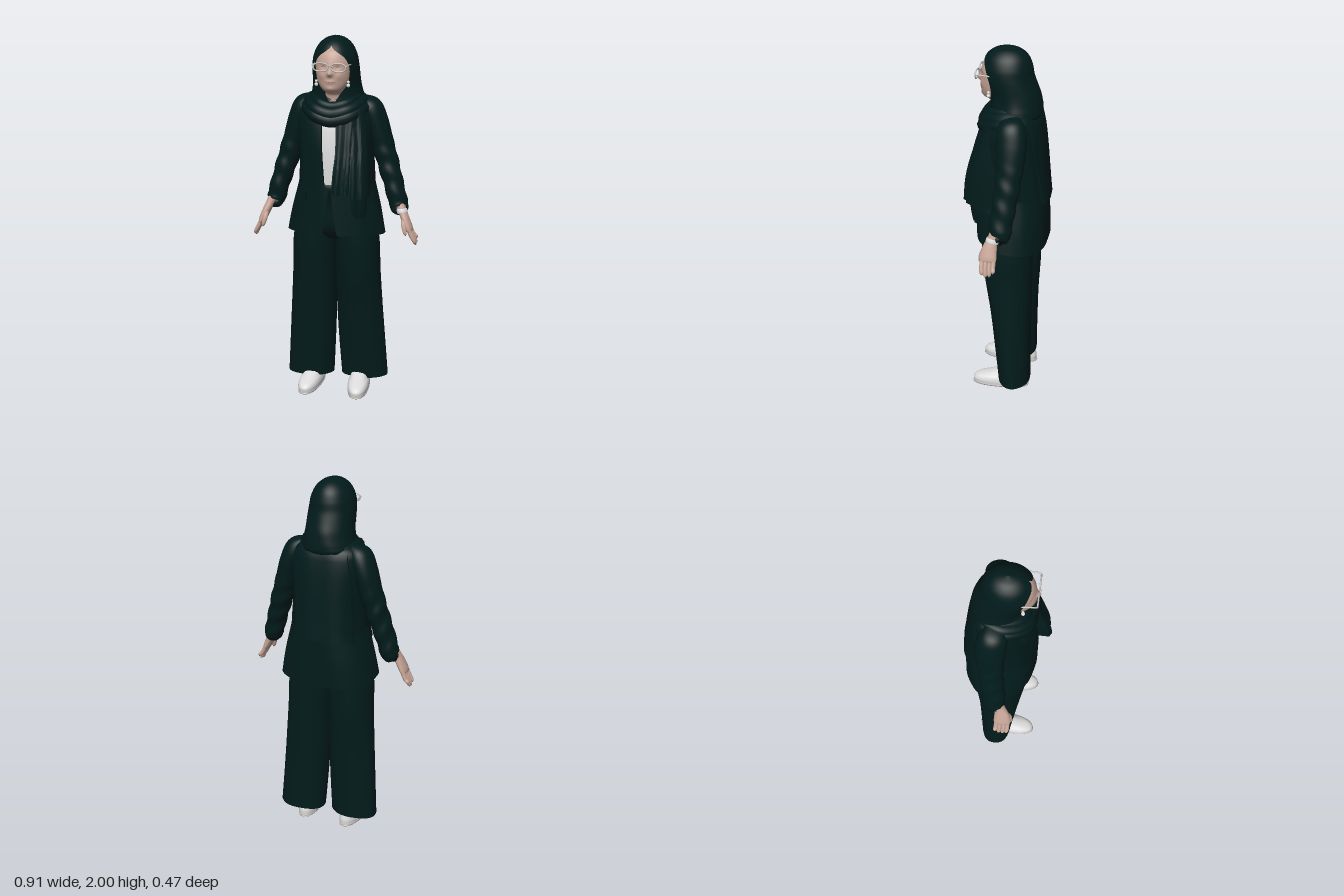
import * as THREE from 'three';
import { mergeVertices, toCreasedNormals } from 'three/addons/utils/BufferGeometryUtils.js';

const mat = (name, color) => {
  const m = new THREE.MeshStandardMaterial({ color, side: THREE.DoubleSide });
  m.name = name;
  return m;
};

// Smooth interpolation of table rows at index position t
function sample(rows, t) {
  const last = rows.length - 1;
  const i = Math.min(Math.floor(t), last - 1), f = t - i;
  const row = k => rows[Math.max(0, Math.min(last, k))];
  return rows[i].map((b, c) => {
    const a = row(i - 1)[c], d = row(i + 1)[c], e = row(i + 2)[c];
    return b + 0.5 * f * (d - a + f * (2 * a - 5 * b + 4 * d - e + f * (3 * (b - d) + e - a)));
  });
}

// Surface from a grid of points
function grid(nu, nv, fn, crease = false) {
  const pos = [], idx = [];
  for (let j = 0; j <= nv; j++) for (let i = 0; i <= nu; i++) pos.push(...fn(i / nu, j / nv));
  for (let j = 0; j < nv; j++) for (let i = 0; i < nu; i++) {
    const a = j * (nu + 1) + i, b = a + 1, c = a + nu + 1, d = c + 1;
    idx.push(a, b, d, a, d, c);
  }
  let g = new THREE.BufferGeometry();
  g.setAttribute('position', new THREE.Float32BufferAttribute(pos, 3));
  g.setIndex(idx);
  if (crease) return toCreasedNormals(g, 0.9);
  g = mergeVertices(g, 1e-5);
  g.computeVertexNormals();
  return g;
}

const pw = (v, e) => Math.sign(v) * Math.abs(v) ** e;

// Upright body from rings [y, cx, cz, rx, rz, half width of front opening];
// n and nFront set how boxy the back and front are
function loft(rings, { n = 2, nFront = n, segs = 56, steps = 7, fold = () => 1, warp = p => p } = {}) {
  return grid(segs, (rings.length - 1) * steps, (u, v) => {
    const [y, cx, cz, rx0, rz0, w = 0] = sample(rings, v * (rings.length - 1));
    const rx = Math.max(rx0, 0.0005), rz = Math.max(rz0, 0.0005);
    const a = Math.asin(Math.min(1, Math.max(0, w) / rx) ** (nFront / 2));
    const th = a + u * (2 * Math.PI - 2 * a), k = fold(th, y);
    const e = 2 / (Math.cos(th) > 0 ? nFront : n);
    return warp([cx + k * rx * pw(Math.sin(th), e), y, cz + k * rz * pw(Math.cos(th), e)]);
  });
}

// Depth of a lofted body at x, y on its front (s = 1) or back (s = -1)
function depth(rings, x, y, n, s = 1) {
  let i = 0;
  while (i < rings.length - 2 && rings[i + 1][0] < y) i++;
  const f = THREE.MathUtils.clamp((y - rings[i][0]) / (rings[i + 1][0] - rings[i][0]), 0, 1);
  const [, , cz, rx, rz] = sample(rings, i + f);
  return cz + s * rz * (1 - Math.min(0.97, Math.abs(x / rx)) ** n) ** (1 / n);
}

// Limb through points [x, y, z, width, depth]
function limb(pts, { segs = 24, steps = 8, fold = () => 1 } = {}) {
  const last = pts.length - 1, Z = new THREE.Vector3(0, 0, 1);
  return grid(segs, last * steps, (u, v) => {
    const t = v * last, p = sample(pts, t);
    const a = sample(pts, Math.max(0, t - 0.05)), b = sample(pts, Math.min(last, t + 0.05));
    const T = new THREE.Vector3(b[0] - a[0], b[1] - a[1], b[2] - a[2]).normalize();
    const X = T.clone().cross(Z).normalize(), Y = X.clone().cross(T);
    const th = u * 2 * Math.PI, k = fold(th, v);
    const q = X.multiplyScalar(Math.sin(th) * Math.max(p[3], 0.0005) * k)
      .addScaledVector(Y, Math.cos(th) * Math.max(p[4], 0.0005) * k);
    return [p[0] + q.x, p[1] + q.y, p[2] + q.z];
  });
}

export function createModel() {
  const root = new THREE.Group();
  const cloth = mat('dark green cloth', 0x021b1b);
  const skin = mat('skin', 0xc6a496);
  const white = mat('off white', 0xdcdcdc);
  const metal = mat('light metal', 0xc4c1be);
  const lipCol = mat('lips', 0xb48a80);
  const brown = mat('eye brown', 0x8c766b);
  const add = (name, geo, m) => {
    const mesh = new THREE.Mesh(geo, m);
    mesh.name = name;
    root.add(mesh);
    return mesh;
  };
  const V = p => new THREE.Vector3(...p);
  const tube = (pts, r, closed = false, segs = 40) =>
    new THREE.TubeGeometry(new THREE.CatmullRomCurve3(pts.map(V), closed), segs, r, 10, closed);

  // Jacket, open down the front
  const jacket = [
    [0.925, 0, -0.03, 0.268, 0.195, 0.04], [1.05, 0, -0.03, 0.243, 0.193, 0.022], [1.19, 0, -0.028, 0.208, 0.188, 0.01],
    [1.235, 0, -0.027, 0.205, 0.185, 0.036], [1.35, 0, -0.025, 0.2, 0.18, 0.043],
    [1.45, 0, -0.025, 0.203, 0.172, 0.045], [1.55, 0, -0.03, 0.207, 0.155, 0.05],
    [1.63, 0, -0.04, 0.192, 0.128, 0.04], [1.67, 0, -0.04, 0.14, 0.1, 0.01], [1.69, 0, -0.03, 0.07, 0.07, 0]];
  add('jacket', loft(jacket, {
    n: 2.5, nFront: 2.05, segs: 80,
    fold: (th, y) => 1 + 0.01 * Math.sin(th * 9 + y * 8) * (y < 1.6 ? 1 : 0),
    warp: ([x, y, z]) => [x, y + z * 0.12 * Math.max(0, (1.2 - y) / 0.27), z]
  }), cloth);

  // Raised cloth panel over a body, rows [y, x0, x1, thickness]
  const panel = (name, body, rows, s = 1, ripple = 0, hem = 0.012) => {
    const nv = (rows.length - 1) * 6 + 1, nu = 26;
    return add(name, grid(nu, nv, (u, v) => {
      const j = Math.round(v * nv), i = Math.round(u * nu);
      const [y, x0, x1, off] = sample(rows, Math.max(0, j - 1) / 6);
      const f = THREE.MathUtils.clamp((i - 1) / (nu - 2), 0, 1), x = s > 0 ? x0 + (x1 - x0) * f : x1 + (x0 - x1) * f;
      const edge = i === 0 || i === nu || j === 0;
      const o = edge ? -hem : off * (1 - ripple * Math.cos(f * 4 * Math.PI));
      return [x, y, depth(body, x, y, s > 0 ? 2.05 : 2.5, s) + s * o];
    }, true), cloth);
  };
  for (const s of [-1, 1]) {
    const m = (y, a, b, o) => [y, Math.min(s * a, s * b), Math.max(s * a, s * b), o];
    panel('lapel', jacket, [m(1.22, 0.03, 0.042, 0.01), m(1.4, 0.043, 0.1, 0.014), m(1.5, 0.046, 0.145, 0.014), m(1.62, 0.055, 0.12, 0.014)]);
    panel('pocketFlap', jacket, [m(1.12, 0.13, 0.205, 0.014), m(1.17, 0.135, 0.195, 0.014)]);
  }
  // Scarf ends hanging clear of the chest
  const drape = [[1, 0, -0.03, 0.265, 0.19], [1.19, 0, -0.03, 0.26, 0.2], [1.3, 0, -0.03, 0.25, 0.195],
    [1.42, 0, -0.03, 0.24, 0.178], [1.62, 0, -0.03, 0.21, 0.135]];
  panel('scarfEndInner', drape, [[1.19, 0.022, 0.125, 0.057], [1.3, 0.027, 0.13, 0.047], [1.42, 0.035, 0.13, 0.032], [1.6, 0.025, 0.14, 0.024]], 1, 0.13, 0.03);
  panel('scarfEndOuter', drape, [[1.165, 0.115, 0.2, 0.065], [1.3, 0.115, 0.195, 0.052], [1.45, 0.11, 0.185, 0.032], [1.62, 0.08, 0.165, 0.02]], 1, 0.1, 0.06);
  panel('scarfTip', drape, [[1.05, 0.14, 0.185, 0.025], [1.1, 0.12, 0.19, 0.03], [1.2, 0.12, 0.185, 0.035]], 1, 0.12, 0.03);
  panel('scarfBack', jacket, [[1.16, -0.185, 0.1, 0.018], [1.35, -0.175, 0.125, 0.014], [1.5, -0.165, 0.145, 0.012], [1.64, -0.14, 0.145, 0.012]], -1, 0.1);

  // Shirt and trouser top
  add('shirt', loft([[1.2, 0, -0.027, 0.185, 0.174], [1.35, 0, -0.025, 0.185, 0.17],
    [1.47, 0, -0.025, 0.185, 0.16], [1.56, 0, -0.03, 0.18, 0.142], [1.64, 0, -0.03, 0.09, 0.08]]), white);
  add('trouserTop', loft([[0.9, 0, -0.02, 0.18, 0.09], [0.97, 0, -0.02, 0.225, 0.14], [1.1, 0, -0.025, 0.2, 0.155],
    [1.22, 0, -0.025, 0.188, 0.176], [1.225, 0, -0.025, 0.05, 0.05]]), cloth);

  // Head with modelled features
  const head = [[1.6, 0, 0, 0.06, 0.06], [1.69, 0, 0.015, 0.052, 0.05], [1.71, 0, 0.045, 0.045, 0.06], [1.73, 0, 0.048, 0.065, 0.084],
    [1.77, 0, 0.042, 0.087, 0.098], [1.83, 0, 0.04, 0.096, 0.1], [1.88, 0, 0.035, 0.095, 0.102],
    [1.93, 0, 0.025, 0.078, 0.087], [1.965, 0, 0.02, 0.02, 0.03]];
  const bump = (x, y, bx, by, wx, wy, h) => h * Math.exp(-(((x - bx) / wx) ** 2) - ((y - by) / wy) ** 2);
  const relief = (x, y) => bump(x, y, 0, 1.818, 0.017, 0.015, 0.02) + bump(x, y, 0, 1.84, 0.011, 0.022, 0.009)
    + bump(Math.abs(x), y, 0.038, 1.852, 0.02, 0.012, -0.007) + bump(Math.abs(x), y, 0.045, 1.805, 0.022, 0.02, 0.006)
    + bump(x, y, 0, 1.775, 0.026, 0.012, 0.005) + bump(x, y, 0, 1.738, 0.022, 0.014, 0.006);
  const faceZ = (x, y) => depth(head, x, y, 2) + relief(x, y);
  add('head', loft(head, { segs: 96, steps: 10, warp: ([x, y, z]) => [x, y, z > 0.05 ? z + relief(x, y) : z] }), skin);
  const line = (name, pts, r, m) => add(name, tube(pts.map(([x, y]) => [x, y, faceZ(x, y) - r * 0.5]), r), m);
  line('mouth', [[-0.028, 1.78], [-0.012, 1.775], [0.012, 1.775], [0.028, 1.78]], 0.003, lipCol);
  for (const s of [-1, 1]) {
    line('eye', [[s * 0.03, 1.852], [s * 0.038, 1.854], [s * 0.048, 1.851]], 0.002, brown);
    // Glasses and earring
    const rim = Array.from({ length: 14 }, (_, i) => {
      const a = i / 14 * Math.PI * 2;
      return [s * 0.047 + 0.038 * pw(Math.cos(a), 0.75), 1.854 + 0.021 * pw(Math.sin(a), 0.75), 0.153];
    });
    add('glassesRim', tube(rim, 0.0038, true), metal);
    add('glassesArm', tube([[s * 0.085, 1.86, 0.153], [s * 0.091, 1.862, 0.148], [s * 0.093, 1.862, 0.12], [s * 0.096, 1.86, 0.07]], 0.0038), metal);
    for (let i = 0; i < 2; i++)
      add('earring', new THREE.SphereGeometry(0.01 - i * 0.002, 14, 10), white).position.set(s * 0.086, 1.75 + i * 0.018, 0.084);
  }
  add('glassesBridge', tube([[-0.012, 1.858, 0.154], [0, 1.862, 0.16], [0.012, 1.858, 0.154]], 0.0035), metal);

  // Headscarf hood with face opening, fuller at the nape
  add('hood', loft([[1.595, 0, -0.03, 0.12, 0.12, 0], [1.64, 0, -0.045, 0.15, 0.138, 0.004], [1.67, 0, -0.048, 0.145, 0.138, 0.022],
    [1.71, 0, -0.045, 0.134, 0.136, 0.048], [1.75, 0, -0.037, 0.128, 0.136, 0.076], [1.8, 0, -0.02, 0.126, 0.135, 0.09],
    [1.85, 0, -0.004, 0.123, 0.134, 0.09], [1.9, 0, 0.001, 0.114, 0.13, 0.068], [1.95, 0, 0.001, 0.09, 0.109, 0.006],
    [1.985, 0, 0, 0.05, 0.065, 0], [2, 0, 0, 0.001, 0.001, 0]],
  { segs: 72, fold: (th, y) => 1 + 0.012 * Math.sin(th * 7 + y * 20) * THREE.MathUtils.clamp((1.85 - y) * 6, 0, 1) }), cloth);
  // Cowl rolls: [side x, side y, front y, front z, back z, radius]
  for (const [x, y, fy, fz, bz, r] of [[0.115, 1.675, 1.637, 0.1, -0.12, 0.026],
    [0.14, 1.65, 1.6, 0.118, -0.13, 0.034], [0.155, 1.625, 1.565, 0.124, -0.135, 0.034]])
    add('cowlRoll', tube([[0, fy, fz], [x * 0.62, fy + (y - fy) * 0.4, fz * 0.82], [x, y, -0.02],
      [x * 0.7, y + 0.005, bz * 0.8], [0, y + 0.005, bz], [-x * 0.7, y + 0.005, bz * 0.8],
      [-x, y, -0.02], [-x * 0.62, fy + (y - fy) * 0.4, fz * 0.82]], r, true, 64), cloth);

  for (const s of [-1, 1]) {
    const M = pts => pts.map(([x, ...r]) => [s * x, ...r]);
    // Sleeve with gathered folds
    add('sleeve', limb(M([[0.14, 1.66, -0.045, 0.02, 0.05], [0.177, 1.615, -0.055, 0.06, 0.075], [0.21, 1.54, -0.063, 0.062, 0.08],
      [0.242, 1.43, -0.063, 0.06, 0.072], [0.278, 1.31, -0.055, 0.058, 0.066], [0.315, 1.19, -0.041, 0.053, 0.062],
      [0.345, 1.08, -0.031, 0.05, 0.056], [0.347, 1.085, -0.022, 0.03, 0.035]]), {
      segs: 32, steps: 14,
      fold: (th, v) => 1 + 0.05 * Math.sin(v * 50 + 2.4 * Math.sin(th + 1)) * THREE.MathUtils.smoothstep(v, 0.35, 0.55) * (v < 0.82 ? 1 : 0.2)
    }), cloth);
    // Hand
    add('palm', limb(M([[0.345, 1.13, -0.02, 0.026, 0.03], [0.366, 1.07, 0, 0.023, 0.029], [0.39, 1.015, 0.014, 0.022, 0.041],
      [0.412, 0.965, 0.018, 0.018, 0.045], [0.42, 0.945, 0.018, 0.001, 0.03]])), skin);
    [[-0.014, 0.905], [0.006, 0.885], [0.027, 0.88], [0.047, 0.892]].forEach(([z, y]) =>
      add('finger', limb(M([[0.41, 0.97, z, 0.012, 0.012], [0.43, 0.93, z, 0.012, 0.012],
        [0.444, y + 0.012, z - 0.003, 0.01, 0.011], [0.449, y, z - 0.003, 0.001, 0.001]]), { segs: 12 }), skin));
    add('thumb', limb(M([[0.38, 1.035, 0.025, 0.012, 0.014], [0.384, 0.995, 0.052, 0.013, 0.013],
      [0.394, 0.955, 0.062, 0.01, 0.01], [0.398, 0.94, 0.062, 0.001, 0.001]]), { segs: 12 }), skin);
    // Wide trouser leg, the left one slightly further back
    add('trouserLeg', loft([[0.065, s * 0.153, -0.062 - s * 0.012, 0.131, 0.087], [0.3, s * 0.14, -0.05 - s * 0.009, 0.13, 0.1],
      [0.5, s * 0.13, -0.04 - s * 0.006, 0.127, 0.113], [0.7, s * 0.122, -0.03, 0.123, 0.13],
      [0.86, s * 0.118, -0.022, 0.121, 0.138], [1, s * 0.11, -0.02, 0.11, 0.14]], {
      n: 2.1,
      fold: (th, y) => 1 + 0.018 * Math.sin(5 * th + s * 4 * y) * (1 - y * 0.6)
    }), cloth);
    // Shoe and sole
    const shoe = add('shoe', loft([[0.012, 0, 0.012, 0.058, 0.155], [0.035, 0, 0.012, 0.06, 0.156], [0.055, 0, 0.003, 0.056, 0.143],
      [0.072, 0, -0.022, 0.048, 0.113], [0.095, 0, -0.055, 0.04, 0.076], [0.115, 0, -0.06, 0.001, 0.001]], { n: 2.3 }), white);
    const sole = add('sole', loft([[0, 0, 0.012, 0.001, 0.001], [0.001, 0, 0.012, 0.05, 0.148], [0.008, 0, 0.012, 0.059, 0.156],
      [0.014, 0, 0.012, 0.059, 0.156], [0.015, 0, 0.012, 0.05, 0.14]], { n: 2.3, steps: 3 }), metal);
    for (const p of [shoe, sole]) { p.position.x = s * 0.135; p.rotation.y = s * 0.08; }
  }
  // Bracelet on the left wrist
  add('bracelet', limb([[0.363, 1.072, -0.001, 0.022, 0.028], [0.364, 1.068, 0, 0.028, 0.034],
    [0.371, 1.052, 0.004, 0.028, 0.035], [0.372, 1.048, 0.005, 0.022, 0.03]]), white);
  return root;
}
